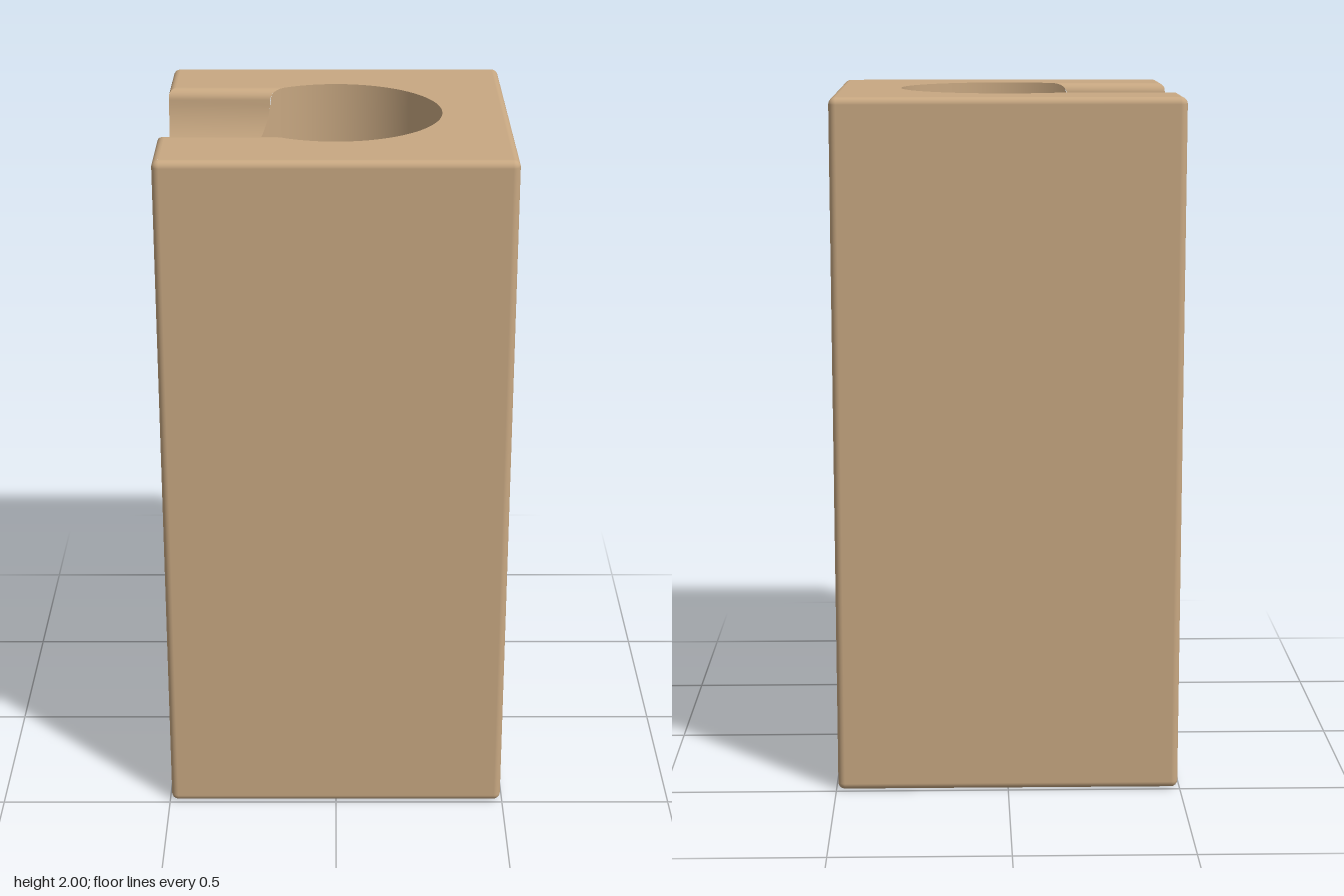
import * as THREE from 'three';
import { RoundedBoxGeometry } from 'three/addons/geometries/RoundedBoxGeometry.js';

const H = 0.495, R = 0.02, F = H - R;                 // half width, edge rounding, flat half width
const CR = 0.235, LIP = 0.03, LY = 2 - LIP;           // channel radius, lip rounding, channel centre height
const CUP = 0.305, BORE = 0.27, LEDGE = LY - CR;      // cup and bore radii, ledge height
const END = -BORE, SLOPE = 0.25 / (H - END);          // tunnel end and fall
const BASE = 0.985, STRAIGHT = 0.1, FLOOR = 1.235;    // tunnel exit centre, straight side, bore floor

// Grid surface whose outside is du x dv
function surf(nu, nv, f) {
  const pos = [], idx = [];
  for (let i = 0; i <= nu; i++) for (let j = 0; j <= nv; j++) pos.push(...f(i / nu, j / nv, i));
  for (let i = 0; i < nu; i++) for (let j = 0; j < nv; j++) {
    const a = i * (nv + 1) + j, b = a + nv + 1;
    idx.push(a, b, b + 1, a, b + 1, a + 1);
  }
  const g = new THREE.BufferGeometry();
  g.setAttribute('position', new THREE.Float32BufferAttribute(pos, 3));
  g.setIndex(idx);
  g.computeVertexNormals();
  return g;
}

const arc = (n, a, b, r, cx, cy) => Array.from({ length: n + 1 }, (_, i) => {
  const t = a + (b - a) * i / n;
  return [cx + r * Math.cos(t), cy + r * Math.sin(t)];
});
const chord = (r, z) => Math.sqrt(Math.max(0, r * r - z * z));

// Channel section from z = -0.265 to 0.265, with rounded lips, cut off at a lip angle
function channelProfile(top) {
  const right = arc(8, Math.PI, Math.PI - top, LIP, CR + LIP, LY);
  const left = right.map(([z, y]) => [-z, y]).reverse();
  return [...left, ...arc(48, Math.PI, 2 * Math.PI, CR, 0, LY).slice(1, -1), ...right];
}
const lipZ = y => CR + LIP - chord(LIP, y - LY);
function channelHeight(z) {
  const a = Math.abs(z);
  if (a >= CR + LIP) return 2;
  return a > CR ? LY + chord(LIP, CR + LIP - a) : LY - chord(CR, a);
}

// Tunnel section, split into floor arc and roof; heights are relative to the exit centre
const floorArc = arc(40, Math.PI, 2 * Math.PI, CR, 0, 0);
const roofArc = [[CR, 0], ...arc(40, 0, Math.PI, CR, 0, STRAIGHT), [-CR, 0]];
const rise = x => BASE + (H - x) * SLOPE;
const slot = x => [...floorArc, ...roofArc.slice(1, -1)].map(([z, y]) => new THREE.Vector2(z, y + rise(x)));

function outerShell() {
  const src = new RoundedBoxGeometry(2 * H, 2, 2 * H, 4, R).translate(0, 1, 0);
  const p = src.attributes.position, n = src.attributes.normal, pos = [], nor = [];
  for (let i = 0; i < p.count; i += 3) {
    const k = [i, i + 1, i + 2];
    const mean = c => k.reduce((s, j) => s + p['get' + c](j), 0) / 3;
    const flat = k.every(j => Math.abs(n.getX(j)) > 0.9999 || n.getY(j) > 0.9999);
    const edge = mean('X') < -F && mean('Y') > 2 - R && Math.abs(mean('Z')) < 0.4;
    if (flat || edge) continue;
    for (const j of k) {
      pos.push(p.getX(j), p.getY(j), p.getZ(j));
      nor.push(n.getX(j), n.getY(j), n.getZ(j));
    }
  }
  const g = new THREE.BufferGeometry();
  g.setAttribute('position', new THREE.Float32BufferAttribute(pos, 3));
  g.setAttribute('normal', new THREE.Float32BufferAttribute(nor, 3));
  return g;
}

export function createModel() {
  const model = new THREE.Group();
  model.name = 'marbleRunBlock';
  const wood = new THREE.MeshStandardMaterial({ color: 0xc8a882 });
  wood.name = 'beech wood';
  const add = (name, geometry) => {
    const m = new THREE.Mesh(geometry, wood);
    m.name = name;
    model.add(m);
  };

  // Rounded block without the three cut faces
  add('blockShell', outerShell());

  // Exit face with the slot
  const exitFace = new THREE.Shape([[-F, R], [F, R], [F, 2 - R], [-F, 2 - R]].map(q => new THREE.Vector2(...q)));
  exitFace.holes.push(new THREE.Path(slot(H)));
  add('exitFace', new THREE.ShapeGeometry(exitFace).rotateY(Math.PI / 2).translate(H, 0, 0));

  // Entry face with the channel notch
  const notch = channelProfile(Math.asin((2 - R - LY) / LIP)).reverse();
  const entryFace = [[-F, R], [F, R], [F, 2 - R], ...notch, [-F, 2 - R]];
  add('entryFace', new THREE.ShapeGeometry(new THREE.Shape(entryFace.map(q => new THREE.Vector2(...q))))
    .rotateY(-Math.PI / 2).translate(-H, 0, 0));

  // Top face with the keyhole of cup and channel
  const w = CR + LIP, b = Math.asin(w / CUP);
  const top = [[-F, -F], [F, -F], [F, F], [-F, F], [-F, w], ...arc(96, Math.PI - b, b - Math.PI, CUP, 0, 0), [-F, -w]];
  add('topFace', new THREE.ShapeGeometry(new THREE.Shape(top.map(q => new THREE.Vector2(...q))))
    .rotateX(-Math.PI / 2).translate(0, 2, 0));

  // Rounded top edge on both sides of the channel
  for (const s of [1, -1]) add('entryEdge', surf(8, 1, (u, v) => {
    const t = u * Math.PI / 2, y = 2 - R + R * Math.sin(t);
    const z = (s > 0) === (v === 0) ? F : lipZ(y);
    return [-F - R * Math.cos(t), y, s * z];
  }));

  // Entry channel running into the cup
  const profile = channelProfile(Math.PI / 2);
  add('entryChannel', surf(profile.length - 1, 1, (u, v, i) => {
    const [z, y] = profile[i];
    const start = y > 2 - R ? -F - chord(R, y - 2 + R) : -H;
    return [v ? -chord(CUP, z) : start, y, z];
  }));

  // Cup wall and ledge
  const wall = (r, low, high) => surf(288, 1, (u, v) => {
    const t = u * 2 * Math.PI, x = r * Math.cos(t), z = r * Math.sin(t);
    return [x, v ? high(x, z) : low(x, z), z];
  });
  add('cupWall', wall(CUP, () => LEDGE, (x, z) => x < 0 ? channelHeight(z) : 2));
  add('cupLedge', new THREE.RingGeometry(BORE, CUP, 96).rotateX(-Math.PI / 2).translate(0, LEDGE, 0));

  // Bore wall, open where the tunnel passes
  add('boreWall', wall(BORE, (x, z) => Math.abs(z) >= CR ? FLOOR
    : Math.max(FLOOR, rise(x) + STRAIGHT + chord(CR, z)), () => LEDGE));

  // Narrow bore floor on each side of the tunnel
  const xs = chord(BORE, CR);
  for (const s of [1, -1]) add('boreFloor', surf(1, 32, (u, v) => {
    const x = -xs + v * (xs + 0.137);
    const inner = chord(CR, Math.max(0, FLOOR - rise(x) - STRAIGHT));
    const z = (s > 0) === (u === 0) ? inner : Math.max(inner, chord(BORE, x));
    return [x, FLOOR, s * z];
  }));

  // Sloping tunnel: floor, roof towards the exit, and pocket behind the bore
  const tunnel = (pts, x0, x1) => surf(pts.length - 1, 1, (u, v, i) => {
    const [z, y] = pts[i], x = v ? x1(z, y) : x0(z, y);
    return [x, y + rise(x), z];
  });
  const roofStart = (z, y) => {
    const X = chord(BORE, z), cross = H - (FLOOR - BASE - y) / SLOPE;
    return Math.max(Math.min(X, cross), -X);
  };
  add('tunnelFloor', tunnel(floorArc, () => END, () => H));
  add('tunnelRoof', tunnel(roofArc, roofStart, () => H));
  add('tunnelPocket', tunnel(roofArc, () => END, z => -chord(BORE, z)));
  add('tunnelEnd', new THREE.ShapeGeometry(new THREE.Shape(slot(END))).rotateY(Math.PI / 2).translate(END, 0, 0));

  return model;
}
